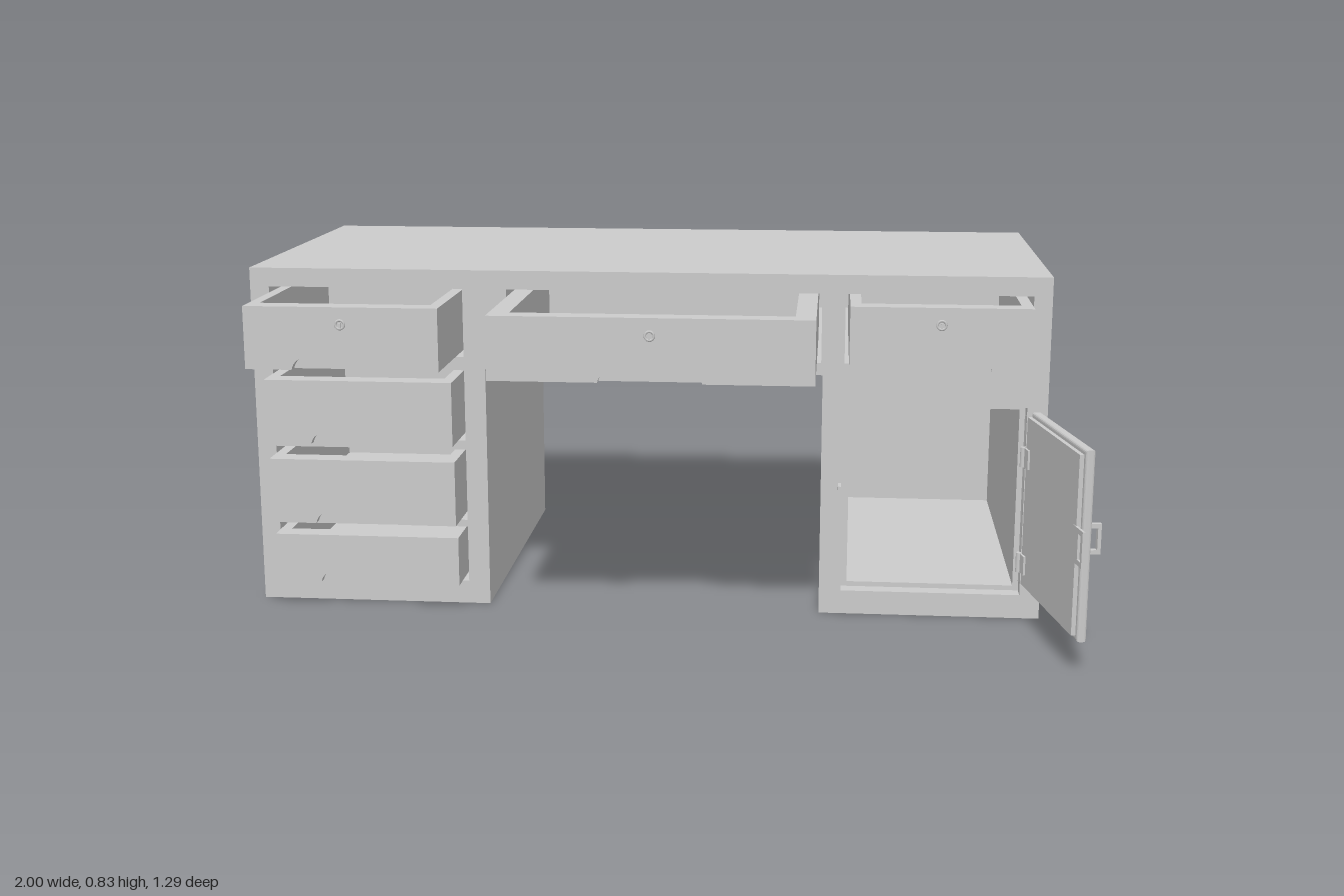
import * as THREE from 'three';

const grey = new THREE.MeshStandardMaterial({ color: 0xcccccc });

function add(parent, name, geometry, x = 0, y = 0, z = 0) {
  const mesh = new THREE.Mesh(geometry, grey);
  mesh.name = name;
  mesh.position.set(x, y, z);
  parent.add(mesh);
  return mesh;
}

const polygon = (pts) => new THREE.Shape(pts.map(([x, y]) => new THREE.Vector2(x, y)));
const rect = (x0, x1, y0, y1) => polygon([[x0, y0], [x1, y0], [x1, y1], [x0, y1]]);

// Flat plate with optional holes, running from z = 0 to z = depth
function plate(shape, depth, holes = [], bevel = 0) {
  shape.holes = holes;
  const geo = new THREE.ExtrudeGeometry(shape, {
    depth: depth - 2 * bevel, bevelEnabled: bevel > 0, bevelSize: bevel,
    bevelThickness: bevel, bevelOffset: -bevel, bevelSegments: 3, curveSegments: 10,
  });
  return geo.translate(0, 0, bevel);
}

const FRONT = 0.228, BACK = -0.645;
const deskOutline = () => polygon([
  [-1, 0], [-0.43, 0], [-0.43, 0.59], [0.38, 0.59], [0.38, 0],
  [0.91, 0], [0.91, 0.83], [-1, 0.83],
]);

// Each drawer: x range, y range, front z, wall thickness, lock
const drawers = [
  { name: 'leftTopDrawer', x: [-0.944, -0.492], y: [0.628, 0.775], z: 0.465, wall: 0.026, lock: true },
  { name: 'leftSecondDrawer', x: [-0.944, -0.492], y: [0.422, 0.577], z: 0.335, wall: 0.026 },
  { name: 'leftThirdDrawer', x: [-0.944, -0.492], y: [0.222, 0.38], z: 0.32, wall: 0.026 },
  { name: 'leftBottomDrawer', x: [-0.944, -0.492], y: [0.066, 0.186], z: 0.298, wall: 0.026 },
  { name: 'centreDrawer', x: [-0.366, 0.366], y: [0.628, 0.775], z: 0.55, wall: 0.046 },
  { name: 'rightDrawer', x: [0.441, 0.857], y: [0.628, 0.775], z: 0.352, wall: 0.026 },
];
for (const d of drawers) d.lock = d.y[1] > 0.7;

function makeDrawer({ name, x, y, z, wall, lock }) {
  const g = new THREE.Group();
  g.name = name;
  const w = (x[1] - x[0]) / 2, h = y[1] - y[0], back = -0.66, face = 0.022;
  g.position.set((x[0] + x[1]) / 2, y[0], z);

  // Front panel with an arched finger grip cut into its lower edge
  const s = new THREE.Shape();
  s.moveTo(-w, 0);
  s.lineTo(-0.117, 0);
  s.bezierCurveTo(-0.112, 0.025, -0.09, 0.032, -0.055, 0.036);
  s.lineTo(0.055, 0.036);
  s.bezierCurveTo(0.09, 0.032, 0.112, 0.025, 0.117, 0);
  s.lineTo(w, 0);
  s.lineTo(w, h);
  s.lineTo(-w, h);
  s.closePath();
  add(g, 'drawerFront', plate(s, face), 0, 0, -face);

  // Tray walls and floor
  const walls = plate(rect(-w, w, face, -back), h,
    [rect(-w + wall, w - wall, 0.05, -back - 0.03)]);
  add(g, 'drawerWalls', walls.rotateX(-Math.PI / 2).scale(1, 1, 1));
  const floorDepth = -back - 0.06;
  add(g, 'drawerFloor', new THREE.BoxGeometry(2 * (w - wall) + 0.01, 0.02, floorDepth + 0.01),
    0, 0.012, -0.04 - floorDepth / 2);

  // Lock
  if (lock) {
    const ring = new THREE.TorusGeometry(0.01, 0.003, 6, 20);
    add(g, 'lockRing', ring, 0, h - 0.04, 0.001);
    add(g, 'lockKeyway', new THREE.BoxGeometry(0.004, 0.012, 0.006), 0, h - 0.042, 0.001);
  }
  return g;
}

function makeDoor() {
  const g = new THREE.Group();
  g.name = 'cabinetDoor';
  const w = 0.425, y0 = 0.075, y1 = 0.51, mid = (y0 + y1) / 2;

  // Rebated inner panel, bevelled outer frame and sunken centre panel
  add(g, 'doorInnerPanel', plate(rect(-w + 0.012, -0.012, y0 + 0.012, y1 - 0.012), 0.014));
  add(g, 'doorFrame', plate(rect(-w, 0, y0, y1), 0.022,
    [rect(-w + 0.062, -0.062, y0 + 0.036, y1 - 0.036)], 0.006), 0, 0, 0.01);
  add(g, 'doorCentrePanel', plate(rect(-w + 0.076, -0.076, y0 + 0.05, y1 - 0.05), 0.014, [], 0.005),
    0, 0, 0.01);

  // Pull handle standing out from the outer face
  const loop = plate(rect(-0.035, 0, -0.035, 0.035), 0.012, [rect(-0.027, 0, -0.025, 0.025)]);
  loop.rotateY(Math.PI / 2);
  add(g, 'doorHandle', loop, -0.39, 0.3, 0.031);

  // Latch loop at the free edge
  add(g, 'doorLatch', plate(rect(-0.462, -0.4, 0.256, 0.338), 0.006,
    [rect(-0.453, -0.432, 0.268, 0.326)]), 0, 0, -0.002);

  // Hinges with their pins
  for (const y of [0.14, 0.4]) {
    add(g, 'hingeLeaf', new THREE.BoxGeometry(0.04, 0.046, 0.008), -0.045, y, -0.001);
    add(g, 'hingePin', new THREE.CylinderGeometry(0.007, 0.007, 0.048, 12), -0.03, y, -0.006);
  }
  g.position.set(0.857, 0, 0.193);
  g.rotation.y = 1.77;
  return g;
}

export function createModel() {
  const desk = new THREE.Group();
  desk.name = 'desk';

  // Carcass: back wall, tunnelled body and front frame with a wider cabinet opening
  const slots = () => drawers.map(({ x, y }) =>
    rect(x[0] - 0.01, x[1] + 0.01, y[0] - 0.009, y[1] + 0.01));
  add(desk, 'backPanel', plate(deskOutline(), 0.04), 0, 0, BACK);
  add(desk, 'body', plate(deskOutline(), 0.19 - BACK - 0.04,
    [...slots(), rect(0.447, 0.848, 0.07, 0.508)]), 0, 0, BACK + 0.04);
  add(desk, 'frontFrame', plate(deskOutline(), FRONT - 0.19,
    [...slots(), rect(0.433, 0.862, 0.058, 0.52)]), 0, 0, 0.19);

  for (const d of drawers) desk.add(makeDrawer(d));
  desk.add(makeDoor());

  // Strike loop for the cabinet latch
  const strike = plate(rect(-0.034, 0.01, -0.03, 0.03), 0.007, [rect(-0.026, -0.006, -0.02, 0.02)]);
  add(desk, 'latchStrike', strike.rotateY(Math.PI / 2), 0.421, 0.297, FRONT);

  return desk;
}
